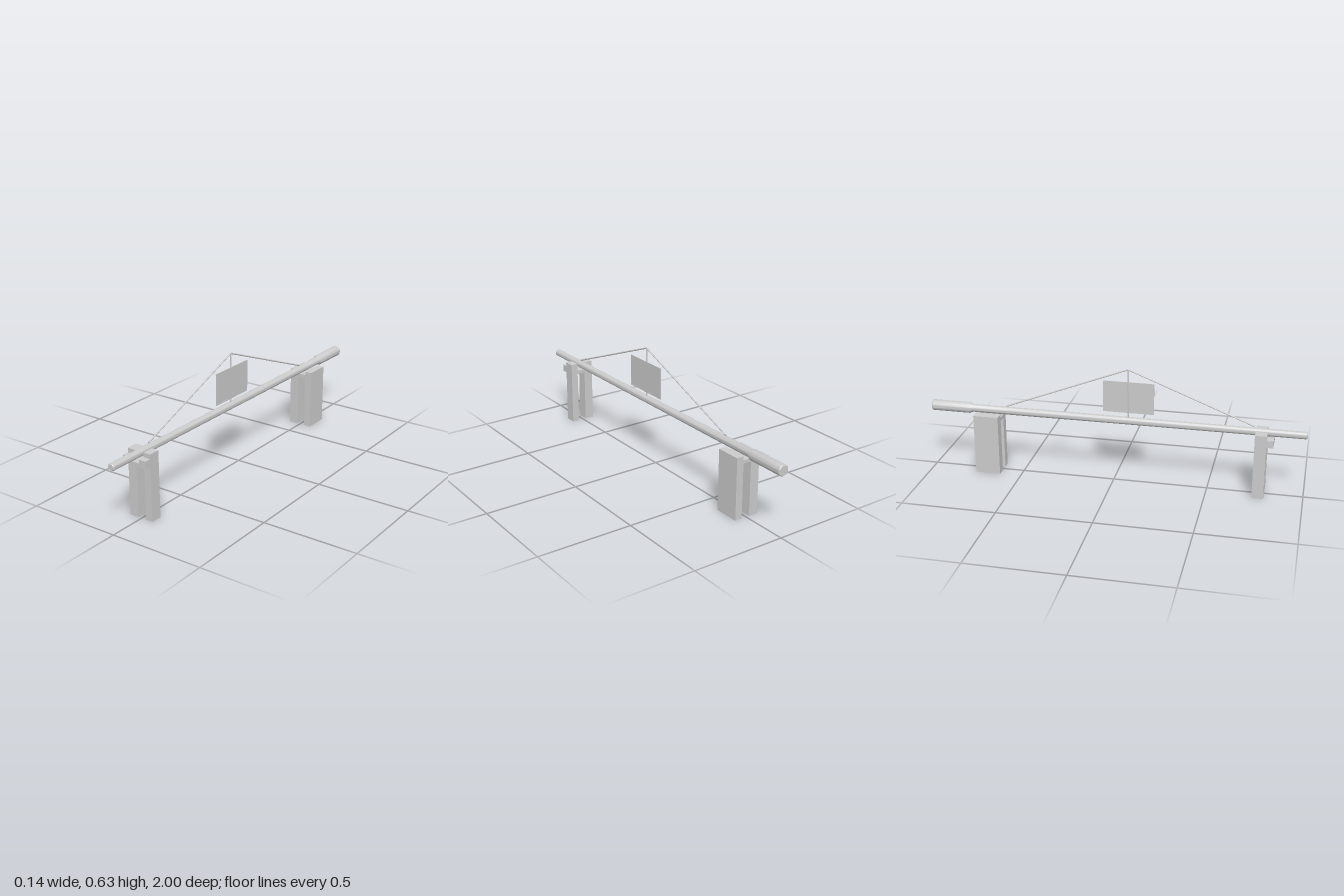
import * as THREE from 'three';
import { toCreasedNormals } from 'three/addons/utils/BufferGeometryUtils.js';

const material = new THREE.MeshStandardMaterial({ color: 0xcccccc });
const AXIS_X = 0.004, AXIS_Y = 0.344;

function add(parent, name, geometry) {
  const mesh = new THREE.Mesh(geometry, material);
  mesh.name = name;
  parent.add(mesh);
  return mesh;
}

// Extrudes an outline of [x, y] points from z0 to z1
function slab(points, z0, z1) {
  const shape = new THREE.Shape(points.map(([x, y]) => new THREE.Vector2(x, y)));
  const geo = new THREE.ExtrudeGeometry(shape, { depth: z1 - z0, bevelEnabled: false });
  return geo.translate(0, 0, z0);
}

// Straight round bar between two points
function bar(a, b, radius) {
  const path = new THREE.LineCurve3(new THREE.Vector3(...a), new THREE.Vector3(...b));
  const geo = new THREE.CylinderGeometry(radius, radius, path.getLength(), 12);
  const dir = path.getTangent(0);
  geo.applyQuaternion(new THREE.Quaternion().setFromUnitVectors(new THREE.Vector3(0, 1, 0), dir));
  const mid = path.getPoint(0.5);
  return geo.translate(mid.x, mid.y, mid.z);
}

// Two legs joined by a low saddle beam under the pole
const L = -0.068, R = 0.067, GL = -0.018, GR = 0.028;
const BEAM_BOTTOM = 0.289, SADDLE = 0.308, REST = 0.327;
function trestle(top, z0, z1) {
  return slab([
    [L, 0], [GL, 0], [GL, BEAM_BOTTOM], [GR, BEAM_BOTTOM], [GR, 0], [R, 0],
    [R, top], [GR, top], [GR, SADDLE], [GL, SADDLE], [GL, top], [L, top],
  ], z0, z1);
}

export function createModel() {
  const model = new THREE.Group();
  model.name = 'poleOnTrestles';

  // Supports
  add(model, 'frontTrestle', trestle(0.35, 0.74, 0.8));
  add(model, 'rearTrestle', trestle(REST, -0.75, -0.615));
  add(model, 'frontCrossbar', slab([
    [L, BEAM_BOTTOM], [R, BEAM_BOTTOM], [R, REST], [GR, REST],
    [GR, SADDLE], [GL, SADDLE], [GL, REST], [L, REST],
  ], 0.8, 0.835));

  // Long pole with a thicker rear grip; profile is [radius, z]
  const profile = [
    [0, -1], [0.025, -1], [0.029, -0.996], [0.029, -0.79], [0.021, -0.772],
    [0.021, -0.4], [0.02, 0], [0.019, 0.994], [0.015, 1], [0, 1],
  ].map(([r, z]) => new THREE.Vector2(r, z));
  const pole = toCreasedNormals(new THREE.LatheGeometry(profile, 32), 0.5);
  pole.rotateX(Math.PI / 2).translate(AXIS_X, AXIS_Y, 0);
  add(model, 'pole', pole);

  // Mast and stays
  const apex = [AXIS_X, 0.627, 0.075];
  add(model, 'mast', bar([AXIS_X, AXIS_Y, 0.075], apex, 0.004));
  add(model, 'frontStay', bar([AXIS_X, 0.37, 0.735], apex, 0.004));
  add(model, 'rearStay', bar([AXIS_X, 0.37, -0.585], apex, 0.004));
  const joint = add(model, 'mastJoint', new THREE.SphereGeometry(0.004, 12, 8));
  joint.position.set(...apex);

  // Thin framed panel beside the mast
  const panel = new THREE.Group();
  panel.name = 'panel';
  panel.position.set(0.0111, 0.47, 0.075);
  add(panel, 'panelSheet', new THREE.BoxGeometry(0.0018, 0.16, 0.26));
  for (const s of [-1, 1]) {
    add(panel, 'panelRail', new THREE.BoxGeometry(0.003, 0.006, 0.27)).position.y = s * 0.082;
    add(panel, 'panelStile', new THREE.BoxGeometry(0.003, 0.158, 0.006)).position.z = s * 0.132;
  }
  model.add(panel);

  return model;
}
